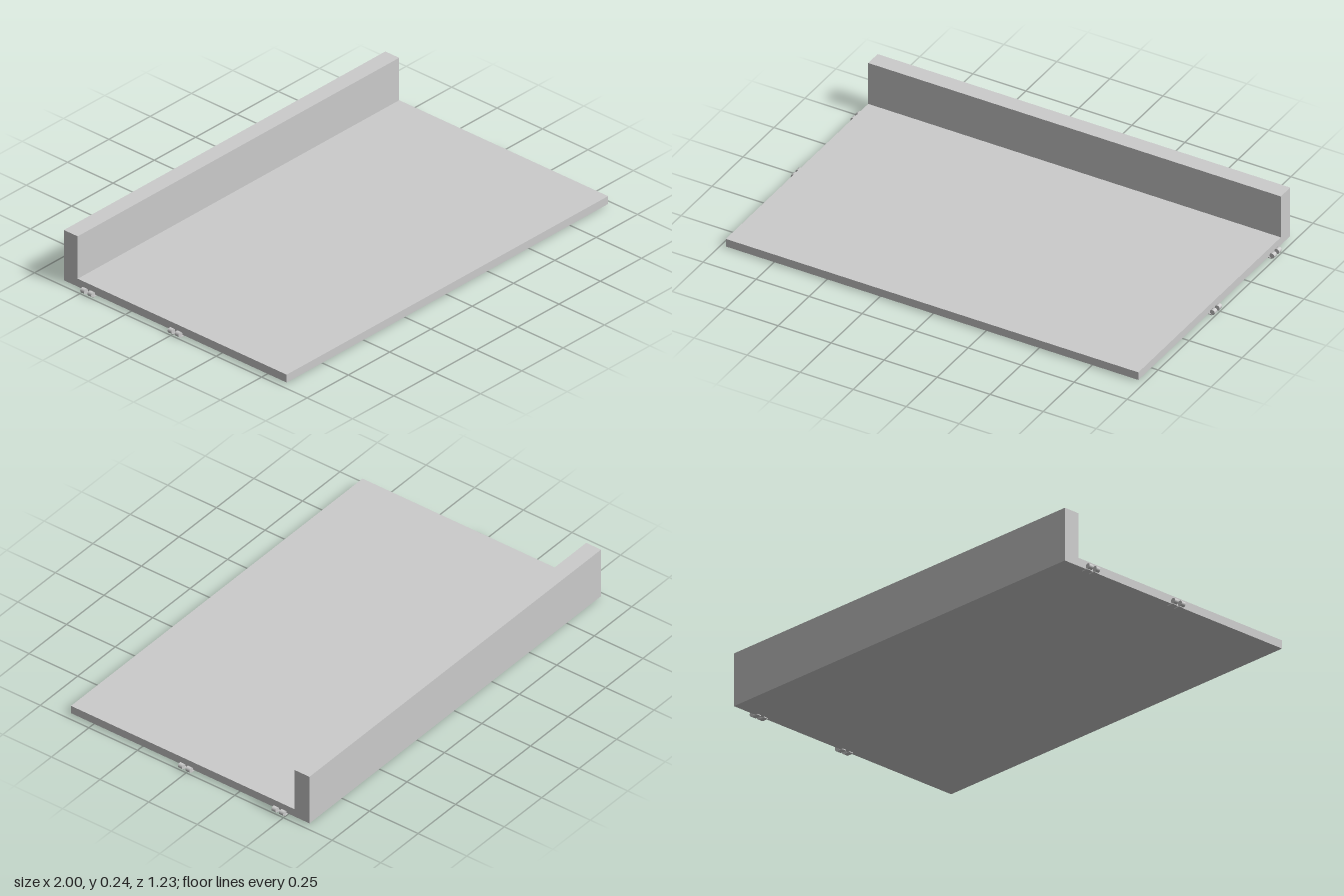
import * as THREE from 'three';

export function createModel() {
  const group = new THREE.Group();
  const material = new THREE.MeshStandardMaterial({ color: 0xcccccc });
  const width = 1.946;

  // L-shaped side profile, drawn with shape x = -z, swept across the width
  const profile = new THREE.Shape([
    [-0.613, 0.007], [0.613, 0.007], [0.613, 0.244],
    [0.537, 0.244], [0.537, 0.044], [-0.613, 0.044],
  ].map(([x, y]) => new THREE.Vector2(x, y)));
  const deckGeometry = new THREE.ExtrudeGeometry(profile, { depth: width, bevelEnabled: false });
  deckGeometry.rotateY(Math.PI / 2);
  deckGeometry.translate(-width / 2, 0, 0);
  const deck = new THREE.Mesh(deckGeometry, material);
  deck.name = 'deckWithBackWall';
  group.add(deck);

  // Small hinge knuckles in pairs along both side edges, each on a thin leaf
  const knuckle = new THREE.CylinderGeometry(0.0115, 0.0115, 0.021, 20).rotateX(Math.PI / 2);
  const leaf = new THREE.BoxGeometry(0.032, 0.004, 0.021);
  for (const side of [-1, 1]) {
    for (const z of [0.032, -0.007, -0.449, -0.488]) {
      const hinge = new THREE.Group();
      hinge.name = side > 0 ? 'leftHinge' : 'rightHinge';
      const barrel = new THREE.Mesh(knuckle, material);
      barrel.name = 'hingeKnuckle';
      barrel.position.set(side * 0.9885, 0.0145, z);
      const plate = new THREE.Mesh(leaf, material);
      plate.name = 'hingeLeaf';
      plate.position.set(side * 0.971, 0.002, z);
      hinge.add(barrel, plate);
      group.add(hinge);
    }
  }
  return group;
}
